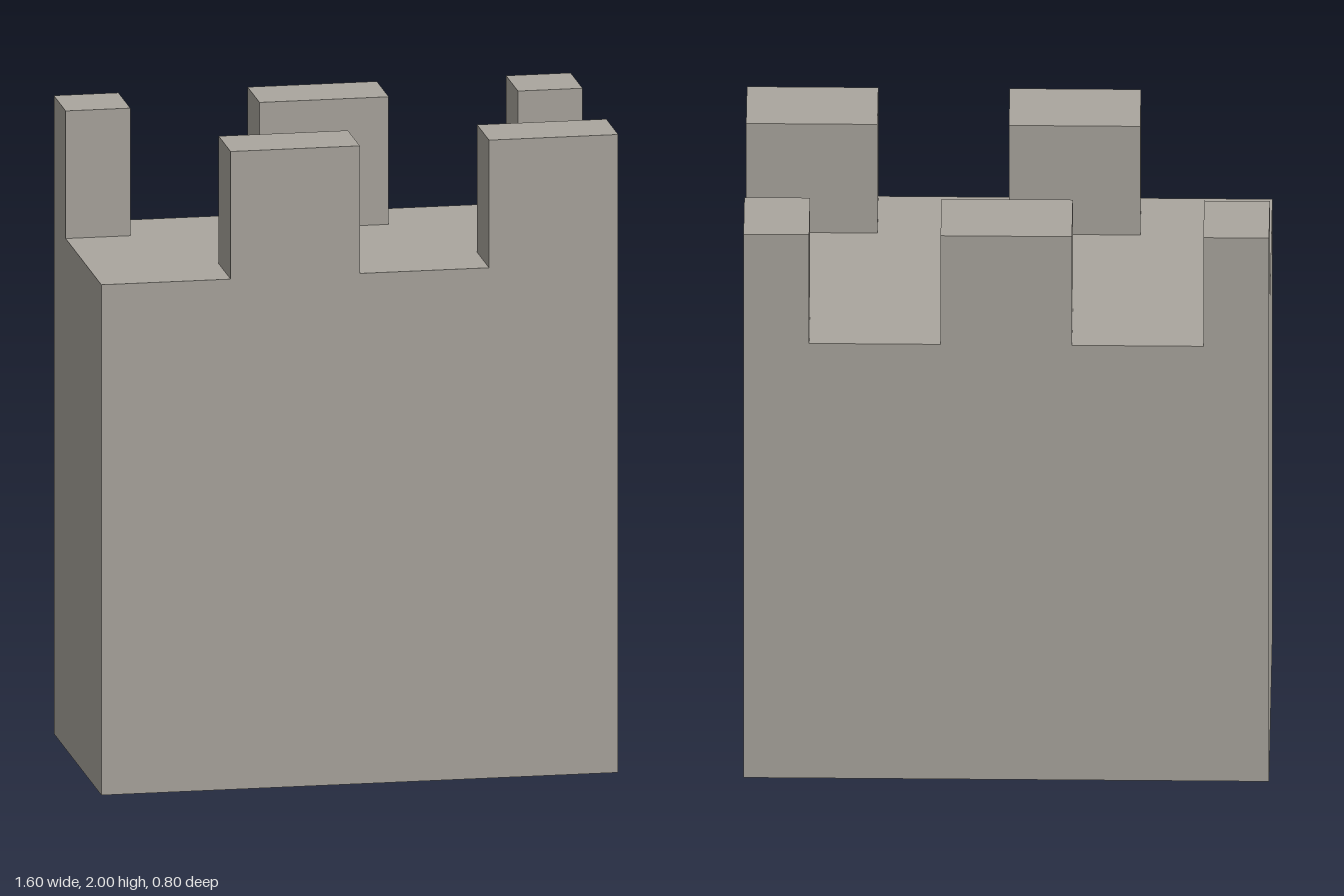
import * as THREE from 'three';

const WIDTH = 1.6, DEPTH = 0.8, DECK = 1.6, MERLON = 0.4, THICK = 0.2;

// Box without its underside, so the tower is a hollow shell open at the base
function openBox(w, h, d) {
  const geometry = new THREE.BoxGeometry(w, h, d);
  const index = Array.from(geometry.index.array);
  index.splice(18, 6); // the -y face
  geometry.setIndex(index);
  geometry.clearGroups();
  return geometry.translate(0, h / 2, 0);
}

export function createModel() {
  const group = new THREE.Group();
  group.name = 'castleTower';
  const stone = new THREE.MeshStandardMaterial({ color: 0xaaa69e, side: THREE.DoubleSide });
  stone.name = 'warm grey stone';

  // Four walls and the flat deck
  const body = new THREE.Mesh(openBox(WIDTH, DECK, DEPTH), stone);
  body.name = 'towerBody';
  group.add(body);

  // Battlements: each row lists the x range of every merlon
  const rows = [
    { name: 'frontMerlon', z: (DEPTH - THICK) / 2, spans: [[-0.4, 0], [0.4, 0.8]] },
    { name: 'backMerlon', z: -(DEPTH - THICK) / 2, spans: [[-0.8, -0.6], [-0.2, 0.2], [0.6, 0.8]] },
  ];
  for (const { name, z, spans } of rows) {
    spans.forEach(([x0, x1], i) => {
      const merlon = new THREE.Mesh(openBox(x1 - x0, MERLON, THICK), stone);
      merlon.position.set((x0 + x1) / 2, DECK, z);
      merlon.name = name + (i + 1);
      group.add(merlon);
    });
  }
  return group;
}
